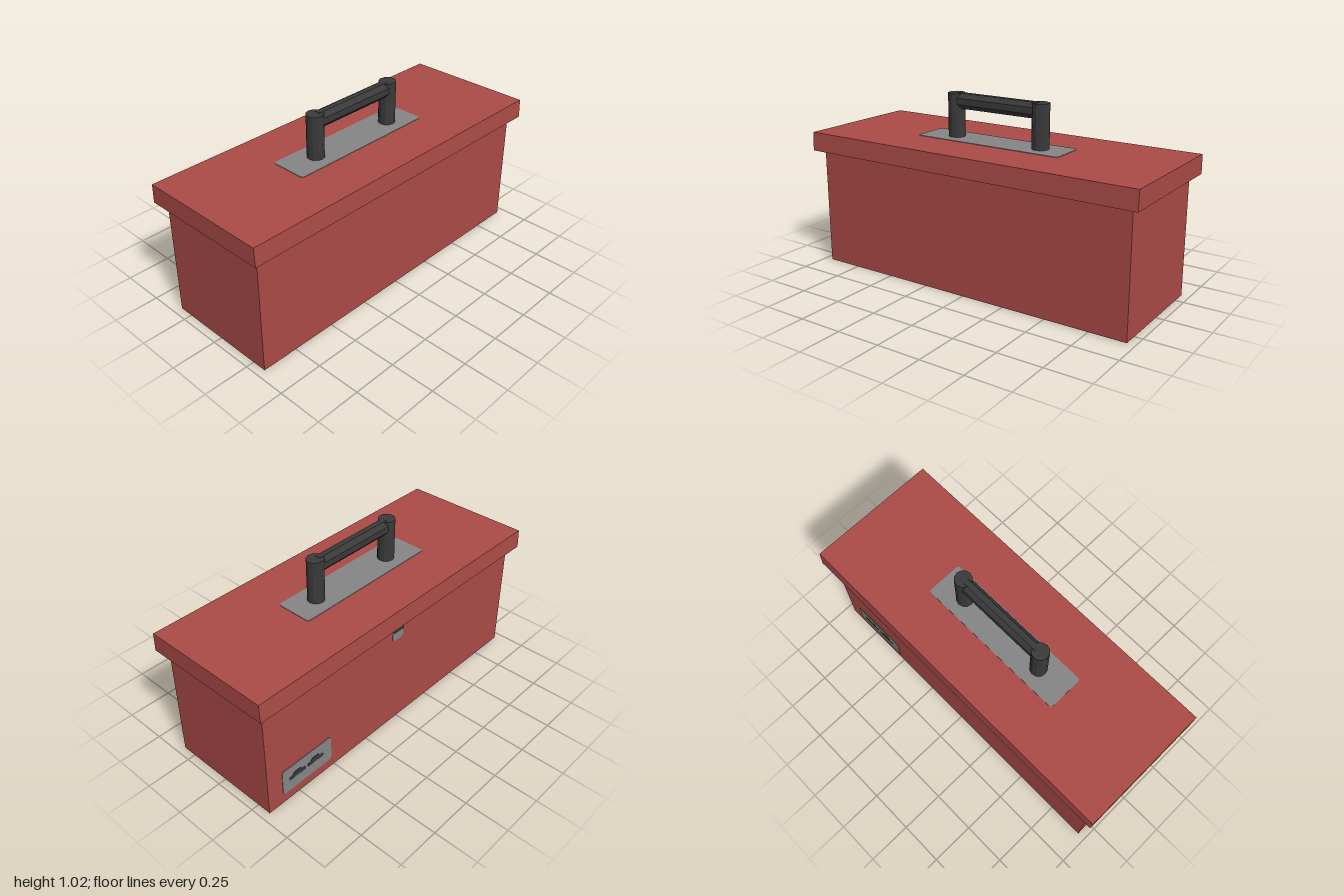
import * as THREE from 'three';

const material = (name, color) => {
  const m = new THREE.MeshStandardMaterial({ color, flatShading: true });
  m.name = name;
  return m;
};

function part(parent, name, geometry, mat, x = 0, y = 0, z = 0) {
  const mesh = new THREE.Mesh(geometry, mat);
  mesh.name = name;
  mesh.position.set(x, y, z);
  parent.add(mesh);
  return mesh;
}

// Thin plate with rounded corners, lying in XY and facing +z
function plateGeometry(w, h, r, depth = 0.003) {
  const s = new THREE.Shape();
  const a = w / 2, b = h / 2;
  s.moveTo(-a + r, -b);
  s.lineTo(a - r, -b).quadraticCurveTo(a, -b, a, -b + r);
  s.lineTo(a, b - r).quadraticCurveTo(a, b, a - r, b);
  s.lineTo(-a + r, b).quadraticCurveTo(-a, b, -a, b - r);
  s.lineTo(-a, -b + r).quadraticCurveTo(-a, -b, -a + r, -b);
  return new THREE.ExtrudeGeometry(s, { depth, bevelEnabled: false, curveSegments: 4 });
}

export function createModel() {
  const red = material('red paint', 0xab4b47);
  const grey = material('grey metal', 0x868686);
  const black = material('black rubber', 0x3a3a3a);
  const model = new THREE.Group();
  model.name = 'toolbox';

  // Box body
  part(model, 'body', new THREE.BoxGeometry(0.662, 0.667, 1.91), red, 0, 0.3335, 0);

  // Overhanging lid, slightly narrower at the top
  const lid = new THREE.BoxGeometry(0.758, 0.105, 2);
  const p = lid.attributes.position;
  for (let i = 0; i < p.count; i++) if (p.getY(i) > 0) p.setX(i, Math.sign(p.getX(i)) * 0.374);
  lid.computeVertexNormals();
  part(model, 'lid', lid, red, 0, 0.7185, 0);

  // Carrying handle on its mounting plate
  const handle = new THREE.Group();
  handle.name = 'handle';
  model.add(handle);
  part(handle, 'handlePlate', plateGeometry(0.21, 0.89, 0.018), grey, 0, 0.771, 0.015).rotation.x = -Math.PI / 2;
  for (const side of [-1, 1])
    part(handle, 'handlePost', new THREE.CylinderGeometry(0.047, 0.047, 0.245, 12), black, 0, 0.8925, side * 0.268);
  const bar = new THREE.CylinderGeometry(0.046, 0.046, 0.5, 8, 1);
  bar.rotateY(Math.PI / 8).rotateX(Math.PI / 2).scale(0.87, 1, 1);
  part(handle, 'handleBar', bar, black, 0, 0.974, 0);

  // Flat fittings on the long side facing -x
  const sidePlate = (name, w, h, r, mat, y, z, lift = 0) => {
    part(model, name, plateGeometry(w, h, r), mat, -0.331 - lift, y, z).rotation.y = -Math.PI / 2;
  };
  sidePlate('latchPlate', 0.084, 0.118, 0.02, grey, 0.606, -0.01);
  sidePlate('latchStrap', 0.084, 0.07, 0.008, black, 0.63, -0.01, 0.002);
  sidePlate('badgePlate', 0.34, 0.155, 0.02, grey, 0.133, -0.69);
  // Small dark marks on the badge
  for (const z of [-0.76, -0.635]) {
    sidePlate('badgeMark', 0.06, 0.035, 0.015, black, 0.143, z, 0.002);
    sidePlate('badgeMarkEnd', 0.045, 0.022, 0.01, black, 0.133, z + 0.035, 0.0015);
    sidePlate('badgeMarkEnd', 0.045, 0.022, 0.01, black, 0.133, z - 0.035, 0.0015);
  }
  return model;
}
